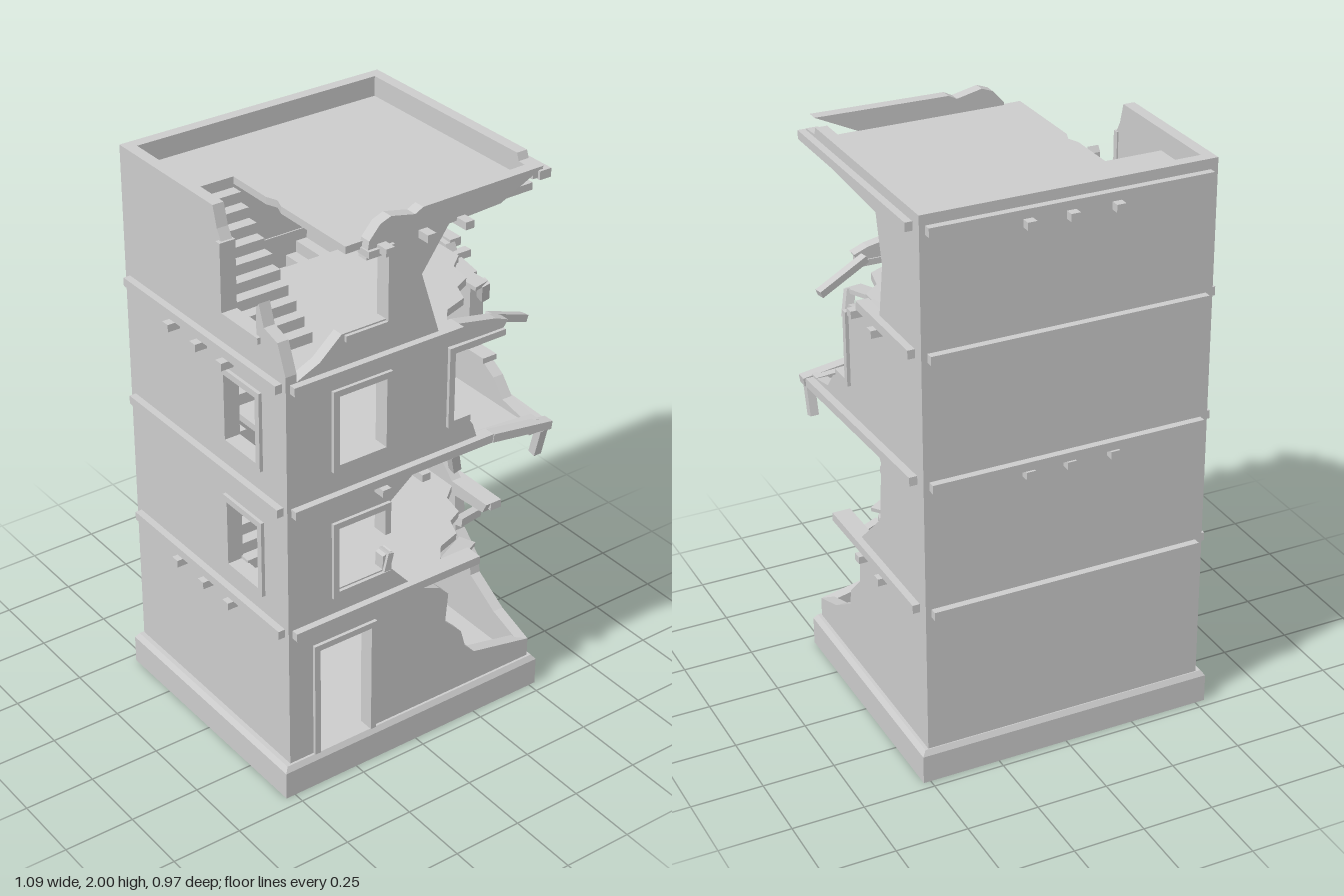
import * as THREE from 'three';

const mat = new THREE.MeshStandardMaterial({ color: 0xcccccc, flatShading: true });
const V = (x, y, z) => new THREE.Vector3(x, y, z);
// outer faces of the walls, wall thickness, floor heights
const X0 = -0.505, X1 = 0.5, Z0 = -0.455, Z1 = 0.44, T = 0.04;
const FLOORS = [0.12, 0.63, 1.07, 1.53, 1.93];

export function createModel() {
  const root = new THREE.Group();

  const add = (name, geo) => {
    const m = new THREE.Mesh(geo, mat);
    m.name = name;
    root.add(m);
    return m;
  };

  const box = (name, w, h, d, x, y, z, rx = 0, ry = 0, rz = 0) => {
    const m = add(name, new THREE.BoxGeometry(w, h, d));
    m.position.set(x, y, z);
    m.rotation.set(rx, ry, rz);
    return m;
  };

  // extrude an outline drawn along the axes ax and ay, starting at origin
  const panel = (name, pts, depth, ax, ay, origin, holes = []) => {
    const shape = new THREE.Shape(pts.map(p => new THREE.Vector2(...p)));
    for (const [a, b, c, d] of holes) {
      shape.holes.push(new THREE.Path([[a, b], [a, d], [c, d], [c, b]].map(p => new THREE.Vector2(...p))));
    }
    const g = new THREE.ExtrudeGeometry(shape, { depth, bevelEnabled: false });
    const az = ax.clone().cross(ay);
    g.applyMatrix4(new THREE.Matrix4().makeBasis(ax, ay, az).setPosition(origin));
    return add(name, g);
  };

  // box fixed to one wall: u runs along the wall, out is its reach beyond the face
  const onWall = (name, side, u0, u1, y0, y1, out, into = 0.02) => {
    const w = u1 - u0, h = y1 - y0, u = (u0 + u1) / 2, y = (y0 + y1) / 2, off = (out - into) / 2, d = out + into;
    if (side === 'front') return box(name, w, h, d, u, y, Z1 + off);
    if (side === 'back') return box(name, w, h, d, u, y, Z0 - off);
    if (side === 'left') return box(name, d, h, w, X1 + off, y, u);
    return box(name, d, h, w, X0 - off, y, u);
  };

  // plinth with chamfered top
  const base = new THREE.BoxGeometry(1.06, 0.12, 0.93, 1, 2, 1);
  const bp = base.attributes.position;
  for (let i = 0; i < bp.count; i++) {
    const y = bp.getY(i);
    if (Math.abs(y) < 0.01) bp.setY(i, 0.042);
    else if (y > 0) bp.setXYZ(i, bp.getX(i) * 0.975, y, bp.getZ(i) * 0.975);
  }
  add('base', base).position.set(-0.005, 0.06, -0.005);

  // front wall, broken along its +x edge and its upper -x corner
  panel('frontWall', [
    [X1, 0.12], [X1, 0.19], [0.26, 0.24], [0.22, 0.28], [0.2, 0.35], [0.13, 0.42], [0.14, 0.53], [0.1, 0.57], [0, 0.61],
    [0.2, 0.605], [0.25, 0.62], [0.25, 0.65], [-0.03, 0.65], [-0.1, 0.73], [-0.1, 0.8], [-0.135, 0.79],
    [-0.135, 0.74], [-0.315, 0.74], [-0.315, 0.97], [-0.135, 0.97], [-0.135, 0.88], [-0.11, 0.88], [-0.11, 0.99], [0, 1.075],
    [0.25, 1.07], [X1, 1.04], [X1, 1.08], [0.24, 1.1], [0.22, 1.16], [0.2, 1.19], [0.11, 1.19], [0.11, 1.48],
    [0.33, 1.475], [0.35, 1.5], [0.3, 1.52], [0.15, 1.55], [0.07, 1.55], [0, 1.77], [0.1, 1.91], [0.3, 1.92], [0.47, 2],
    [0, 1.995], [-0.03, 1.98], [-0.12, 2], [-0.16, 1.985], [-0.2, 1.94], [-0.21, 1.88], [-0.135, 1.88], [-0.135, 1.66],
    [-0.3, 1.66], [-0.38, 1.59], [-0.47, 1.55], [X0, 1.56], [X0, 0.12],
    [-0.39, 0.12], [-0.39, 0.535], [-0.185, 0.535], [-0.185, 0.12],
  ], T, V(1, 0, 0), V(0, 1, 0), V(0, 0, Z1 - T), [[-0.315, 1.21, -0.135, 1.45]]);

  // +x wall, broken along its front edge
  panel('leftWall', [
    [Z0, 0.12], [Z1, 0.12], [Z1, 0.19], [0.3, 0.24], [0.17, 0.32], [0.16, 0.38], [0.08, 0.46], [0.07, 0.6],
    [0.22, 0.61], [0.24, 0.65], [0.05, 0.65], [-0.11, 0.8], [-0.13, 1.02], [-0.09, 1.07], [Z1, 1.03], [Z1, 1.07],
    [0.3, 1.1], [0.25, 1.16], [0.2, 1.19], [0.1, 1.19], [0.1, 1.48], [0, 1.5], [-0.02, 1.54], [-0.15, 1.55],
    [-0.18, 1.73], [-0.14, 1.89], [0.25, 1.91], [0.4, 1.94], [0.4, 1.97], [0.33, 1.975], [0.32, 2], [Z0, 2],
  ], T, V(0, 0, 1), V(0, 1, 0), V(X1, 0, 0));

  // -x wall with windows, its upper front corner gone
  panel('rightWall', [
    [Z0, 0.12], [Z1, 0.12], [Z1, 1.58], [0.4, 1.68], [0.33, 1.7], [0.305, 1.77], [0.29, 1.75], [0.29, 1.66],
    [0.12, 1.66], [0.12, 1.88], [0.09, 1.93], [0.07, 2], [Z0, 2],
  ], T, V(0, 0, 1), V(0, 1, 0), V(X0 + T, 0, 0), [[0.12, 0.74, 0.29, 0.97], [0.12, 1.21, 0.29, 1.45]]);

  box('backWall', X1 - X0, 1.88, T, (X0 + X1) / 2, 1.06, Z0 + T / 2);

  // floors and roof; each leaves an opening above the flight below it
  const ax = V(1, 0, 0), az = V(0, 0, 1);
  const brokenCorner = [[0.46, 0.05], [0.4, 0.1], [0.38, 0.19], [0.32, 0.22], [0.29, 0.29], [0.2, 0.32], [0.15, 0.38], [0.08, 0.4]];
  const rim = [[-0.465, -0.415], [0.46, -0.415]];
  const corner = [[0.46, 0.4]];
  const backOpening = [-0.24, -0.41, 0.22, -0.215];
  const sideOpening = [-0.46, -0.22, -0.265, 0.24];
  panel('secondFloor', [...rim, ...brokenCorner, [-0.465, 0.4]], 0.025, ax, az, V(0, FLOORS[1], 0), [backOpening]);
  panel('thirdFloor', [...rim, ...corner, [-0.465, 0.4]], 0.025, ax, az, V(0, FLOORS[2], 0), [sideOpening]);
  panel('fourthFloor', [...rim, ...brokenCorner, [-0.465, 0.4]], 0.025, ax, az, V(0, FLOORS[3], 0), [backOpening]);
  panel('roof', [...rim, ...corner, [-0.265, 0.41], [-0.265, 0.08], [-0.25, 0.04], [-0.265, 0], [-0.265, -0.22], [-0.465, -0.22]],
    0.025, ax, az, V(0, FLOORS[4], 0));

  // stair flights, alternately along the back and the -x wall
  const N = 11, RUN = 0.46;
  for (let f = 0; f < 4; f++) {
    const h = FLOORS[f + 1] - FLOORS[f], pts = [[0, 0]];
    for (let i = 0; i < N; i++) pts.push([i * RUN / N, (i + 1) * h / N], [(i + 1) * RUN / N, (i + 1) * h / N]);
    pts.push([RUN, h - 0.07], [0.07, 0]);
    if (f % 2 === 0) panel('backStairs', pts, 0.195, ax, V(0, 1, 0), V(-0.24, FLOORS[f], -0.415));
    else panel('sideStairs', pts, 0.2, V(0, 0, -1), V(0, 1, 0), V(-0.465, FLOORS[f], 0.24));
  }

  // ledges
  const ledges = [
    ['front', -0.49, 0.25, 0.635], ['front', -0.49, 0.29, 1.095], ['front', -0.49, 0.15, 1.535],
    ['left', -0.41, 0.24, 0.635], ['left', -0.41, -0.02, 1.535], ['left', -0.41, 0.41, 1.95],
    ...[0.635, 1.095, 1.535].map(y => ['right', -0.43, 0.42, y]),
    ...[0.635, 1.095, 1.535, 1.95].map(y => ['back', -0.48, 0.48, y]),
  ];
  for (const [side, a, b, y] of ledges) onWall('ledge', side, a, b, y - 0.015, y + 0.015, 0.025);
  // sagging ledge pieces on the second storey
  box('saggingLedge', 0.25, 0.03, 0.04, 0.41, 1.077, Z1 + 0.008, 0, 0, -0.15);
  box('saggingLedge', 0.045, 0.03, 0.86, X1 + 0.005, 1.078, 0.02, 0.05);

  // beam ends
  for (const u of [-0.155, 0, 0.145]) {
    for (const y of [1.065, 1.91]) {
      onWall('beamEnd', 'back', u - 0.016, u + 0.016, y - 0.013, y + 0.013, 0.03);
      if (u < 0.1 || y > 1.5) onWall('beamEnd', 'front', u - 0.016, u + 0.016, y - 0.013, y + 0.013, 0.045, 0.05);
    }
    for (const y of [0.605, 1.5]) {
      onWall('beamEnd', 'right', u - 0.016, u + 0.016, y - 0.013, y + 0.013, 0.045);
      if (u < 0.1) onWall('beamEnd', 'left', u - 0.016, u + 0.016, y - 0.013, y + 0.013, 0.04, 0.08);
    }
  }
  // broken beams and fallen boards
  box('brokenBeam', 0.03, 0.09, 0.03, 0.155, 1.04, Z1 - 0.01, 0.3, 0, 0.35);
  box('brokenBeam', 0.12, 0.03, 0.03, 0.43, 0.585, 0.18, 0, 0.3, -0.15);
  box('brokenBeam', 0.03, 0.09, 0.03, X1 - 0.03, 1.45, 0.17, 0.4, 0, 0.3);
  box('brokenBeam', 0.03, 0.11, 0.03, X1 + 0.01, 0.95 + 0.04, Z1 - 0.01, 0.25, 0, 0);
  box('fallenBoard', 0.2, 0.025, 0.03, 0.41, 1.455, 0.36, 0, 0.2, -0.4);
  box('fallenBoard', 0.2, 0.015, 0.06, 0.25, 0.59, 0.34, 0.1, 0.5, -0.15);
  box('fallenBoard', 0.06, 0.015, 0.2, 0.42, 1.5, 0.1, 0.15, 0.2, 0);

  // frames: bars around an opening; parts chooses b(ottom), t(op), l(ow u), h(igh u)
  const frame = (name, side, a, b, c, d, parts) => {
    const w = 0.022, o = 0.012, i = 0.045;
    if (parts.includes('b')) onWall(name, side, a - w, c + w, b - w, b, o, i);
    if (parts.includes('t')) onWall(name, side, a - w, c + w, d, d + w, o, i);
    if (parts.includes('l')) onWall(name, side, a - w, a, b, d, o, i);
    if (parts.includes('h')) onWall(name, side, c, c + w, b, d, o, i);
  };
  frame('doorFrame', 'front', -0.39, 0.12, -0.185, 0.535, 'tlh');
  frame('windowFrame', 'front', -0.315, 0.735, -0.135, 0.975, 'btl');
  onWall('brokenJamb', 'front', -0.135, -0.113, 0.88, 0.975, 0.012, 0.045);
  box('brokenJamb', 0.022, 0.08, 0.05, -0.118, 0.76, Z1 - 0.015, 0, 0, -0.25);
  frame('windowFrame', 'front', -0.315, 1.21, -0.135, 1.455, 'btlh');
  frame('windowFrame', 'front', -0.315, 1.655, -0.135, 1.89, 'h');
  onWall('brokenSill', 'front', -0.29, -0.113, 1.633, 1.655, 0.012, 0.045);
  onWall('brokenLintel', 'front', -0.21, -0.113, 1.89, 1.912, 0.012, 0.045);
  frame('windowFrame', 'front', 0.132, 1.21, 0.31, 1.455, 'tl');
  onWall('brokenSill', 'front', 0.11, 0.2, 1.19, 1.21, 0.012, 0.045);
  frame('windowFrame', 'left', 0.122, 1.21, 0.29, 1.455, 'l');
  onWall('brokenSill', 'left', 0.1, 0.2, 1.19, 1.21, 0.012, 0.045);
  for (const [y, parts] of [[0.74, 'btlh'], [1.21, 'btlh'], [1.66, 'bl']]) {
    frame('windowFrame', 'right', 0.12, y, 0.29, y + 0.235, parts);
  }

  return root;
}
